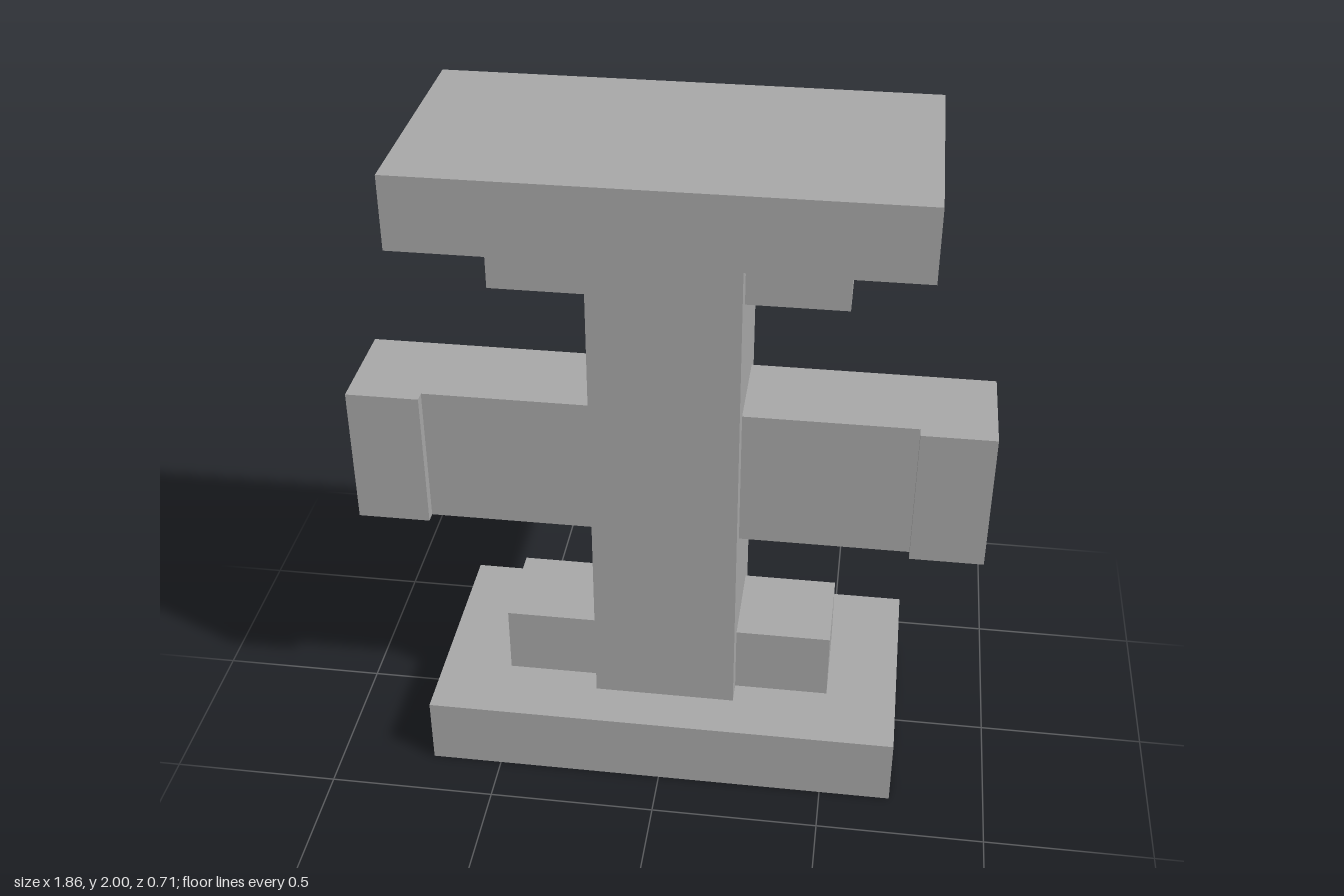
import * as THREE from 'three';

export function createModel() {
  const model = new THREE.Group();
  model.name = 'pillarWithArms';
  const grey = new THREE.MeshStandardMaterial({ color: 0xa6a6a6 });
  grey.name = 'grey';

  // Box given by its extents along each axis
  const block = (name, [x0, x1], [y0, y1], [z0, z1]) => {
    const mesh = new THREE.Mesh(new THREE.BoxGeometry(x1 - x0, y1 - y0, z1 - z0), grey);
    mesh.position.set((x0 + x1) / 2, (y0 + y1) / 2, (z0 + z1) / 2);
    mesh.name = name;
    model.add(mesh);
  };

  // Base, top and column
  block('basePlate', [-0.714, 0.714], [0, 0.214], [-0.357, 0.357]);
  block('topPlate', [-0.714, 0.714], [1.786, 2], [-0.357, 0.357]);
  block('column', [-0.214, 0.214], [0.214, 1.786], [-0.214, 0.214]);

  // Side parts, mirrored
  for (const [side, s] of [['left', 1], ['right', -1]]) {
    const span = (a, b) => (s > 0 ? [a, b] : [-b, -a]);
    block(side + 'LowerBracket', span(0.214, 0.5), [0.214, 0.429], [-0.143, 0.143]);
    block(side + 'UpperBracket', span(0.214, 0.5), [1.576, 1.786], [-0.143, 0.143]);
    block(side + 'Arm', span(0.214, 0.714), [0.788, 1.216], [-0.143, 0.143]);
    // Arm tip stands slightly proud at the front
    block(side + 'ArmTip', span(0.714, 0.929), [0.788, 1.216], [-0.143, 0.176]);
  }
  return model;
}
